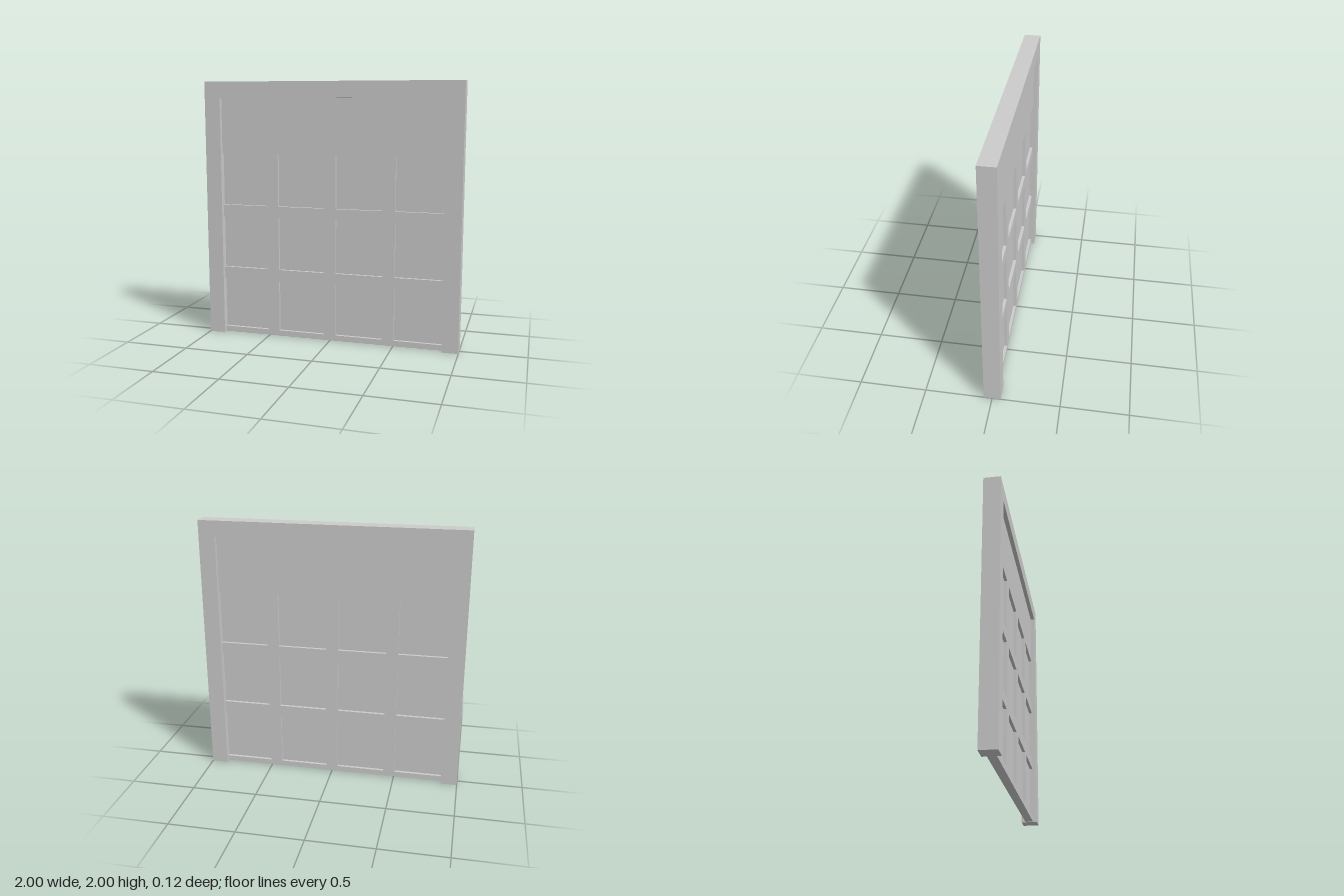
import * as THREE from 'three';

const material = new THREE.MeshStandardMaterial({ color: 0xcccccc, flatShading: true });

const rectPoints = (x0, y0, x1, y1) =>
  [[x0, y0], [x1, y0], [x1, y1], [x0, y1]].map(([x, y]) => new THREE.Vector2(x, y));

// Flat plate of the given depth, centred on z = 0
function plate(name, shape, depth) {
  const geometry = new THREE.ExtrudeGeometry(shape, { depth, bevelEnabled: false });
  geometry.translate(0, 0, -depth / 2);
  const mesh = new THREE.Mesh(geometry, material);
  mesh.name = name;
  return mesh;
}

export function createModel() {
  const group = new THREE.Group();
  group.name = 'panelledDoor';

  // Surround: two jambs joined by a head, open at the floor
  const inner = 0.875, head = 1.877;
  const frame = new THREE.Shape([
    [-1, 0], [-inner, 0], [-inner, head], [inner, head],
    [inner, 0], [1, 0], [1, 2], [-1, 2],
  ].map(([x, y]) => new THREE.Vector2(x, y)));
  group.add(plate('frame', frame, 0.125));

  // Door lattice, tucked slightly into the frame, with a 4 x 3 grid of openings
  const tuck = 0.012;
  const lattice = new THREE.Shape(rectPoints(-inner - tuck, 0.004, inner + tuck, head + tuck));
  const columns = [[-inner - 0.006, -0.506], [-0.415, -0.046], [0.046, 0.415], [0.506, inner + 0.006]];
  const rows = [[0.046, 0.448], [0.539, 0.95], [1.042, 1.449]];
  for (const [x0, x1] of columns) {
    for (const [y0, y1] of rows) {
      lattice.holes.push(new THREE.Path(rectPoints(x0, y0, x1, y1).reverse()));
    }
  }
  group.add(plate('doorLattice', lattice, 0.0625));

  // Thin recessed panels closing the openings on both sides
  const panels = new THREE.Group();
  panels.name = 'recessedPanels';
  for (const [x0, x1] of columns) {
    for (const [y0, y1] of rows) {
      panels.add(plate('recessedPanel', new THREE.Shape(rectPoints(x0, y0, x1, y1)), 0.018));
    }
  }
  group.add(panels);

  return group;
}
